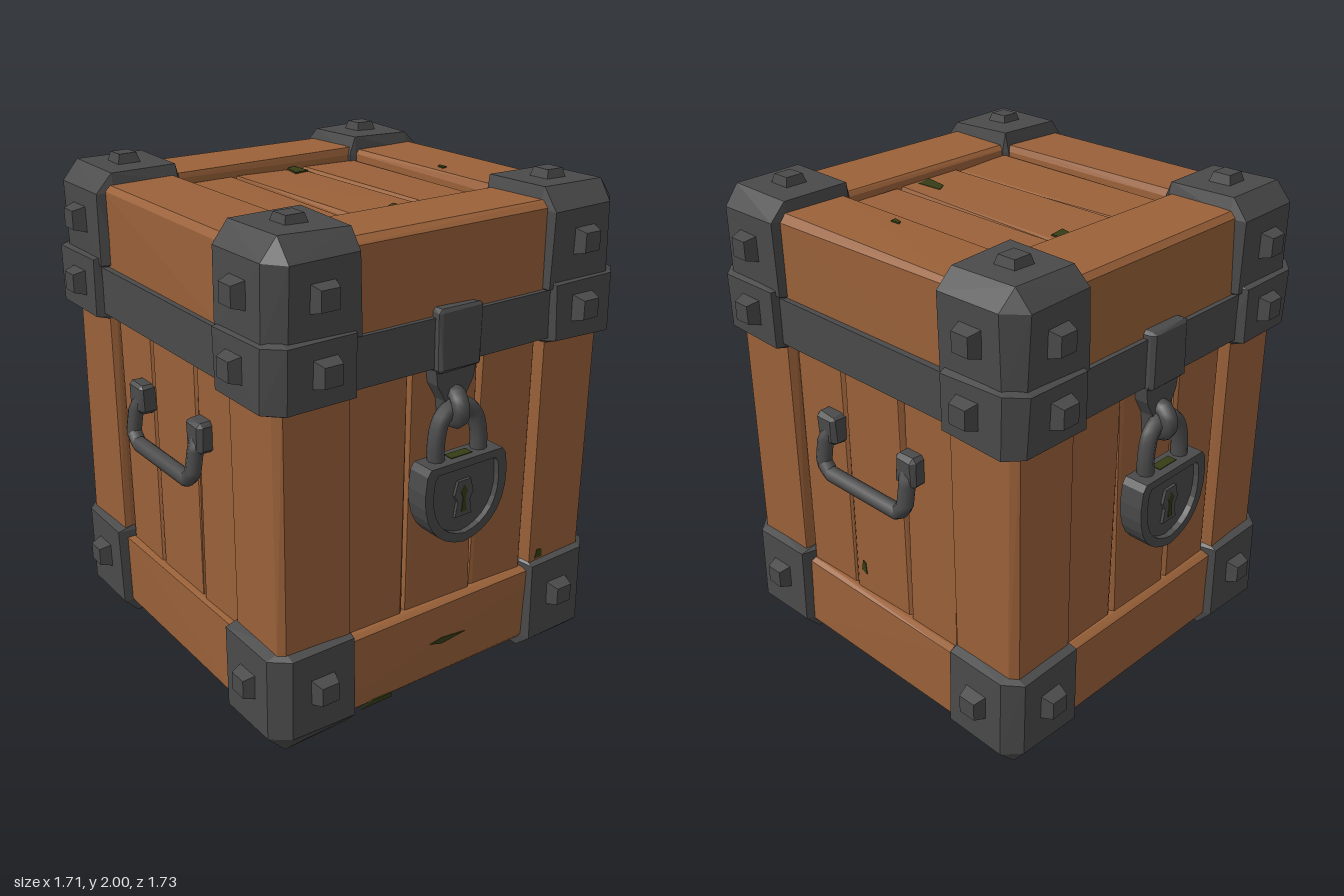
import * as THREE from 'three';
import { ConvexGeometry } from 'three/addons/geometries/ConvexGeometry.js';

const mat = (name, color, side = THREE.FrontSide) => {
  const m = new THREE.MeshStandardMaterial({ color, side });
  m.name = name;
  return m;
};
const V = (x, y, z) => new THREE.Vector3(x, y, z);

export function createModel() {
  const chest = new THREE.Group();
  chest.name = 'chest';
  const wood = mat('wood', 0x9a6139);
  const iron = mat('iron', 0x4a4a4a);
  const moss = mat('moss', 0x363c16, THREE.DoubleSide);

  let seed = 7;
  const rnd = () => {
    seed = (seed * 16807) % 2147483647;
    return seed / 2147483647 - 0.5;
  };

  const add = (parent, name, geo, material, p = [0, 0, 0]) => {
    const m = new THREE.Mesh(geo, material);
    m.name = name;
    m.position.set(...p);
    parent.add(m);
    return m;
  };

  // Chamfered block between two corners; inset gives the chamfer per side as [low, high] per axis
  const block = (lo, hi, inset, wobble) => {
    const pts = [];
    for (let i = 0; i < 8; i++) {
      const s = [i & 1, (i >> 1) & 1, (i >> 2) & 1];
      for (let keep = 0; keep < 3; keep++) {
        const p = s.map((k, a) => {
          const c = a === keep ? 0 : inset[a][k] * (k ? -1 : 1);
          return (k ? hi[a] : lo[a]) + c + rnd() * wobble;
        });
        pts.push(V(...p));
      }
    }
    return new ConvexGeometry(pts);
  };
  const even = (c) => [[c, c], [c, c], [c, c]];
  const plank = (name, lo, hi, inset = even(0.012)) => add(chest, name, block(lo, hi, inset, 0.012), wood);
  // Range on one side of an axis, and its chamfers: small inside, large outside
  const span = (s, n, f) => (s > 0 ? [n, f] : [-f, -n]);
  const edge = (s, inner, outer) => (s > 0 ? [inner, outer] : [outer, inner]);

  // Core behind the gaps
  add(chest, 'core', new THREE.BoxGeometry(1.38, 1.66, 1.38), wood, [0, 0.98, 0]);

  // Body: four corner posts, then upright planks set back in each wall
  for (const sx of [-1, 1]) for (const sz of [-1, 1]) {
    const [x0, x1] = span(sx, 0.445, 0.755), [z0, z1] = span(sz, 0.445, 0.755);
    plank('cornerPost', [x0, 0.36, z0], [x1, 1.5, z1], [edge(sx, 0.01, 0.03), [0.01, 0.01], edge(sz, 0.01, 0.03)]);
  }
  const cuts = [-0.445, -0.165, 0.165, 0.445];
  for (const s of [-1, 1]) for (let i = 0; i < 3; i++) {
    const a = cuts[i] + 0.004, b = cuts[i + 1] - 0.004;
    const [n, f] = span(s, 0.6, 0.724);
    plank('wallPlank', [a, 0.3, n], [b, 1.5, f]);
    plank('wallPlank', [n, 0.3, a], [f, 1.5, b]);
  }

  // Base and lid: frame beams with worn outer edges around a sunken panel of planks
  for (const [y0, y1, p0, p1, up] of [[0.055, 0.395, 0.105, 0.2, -1], [1.57, 1.92, 1.75, 1.872, 1]]) {
    const cy = edge(up, 0.012, 0.025);
    for (const s of [-1, 1]) {
      const [n, f] = span(s, 0.443, 0.755);
      const c = edge(s, 0.012, 0.025);
      plank('frameBeam', [-0.74, y0, n], [0.74, y1, f], [[0.01, 0.01], cy, c]);
      plank('sideBeam', [n, y0, -0.45], [f, y1 - 0.004, 0.45], [c, cy, [0.01, 0.01]]);
    }
    for (let i = 0; i < 3; i++) {
      plank('panelPlank', [cuts[i] + 0.004, p0, -0.45], [cuts[i + 1] - 0.004, p1, 0.45]);
    }
  }

  // Iron band under the lid
  for (const s of [-1, 1]) {
    add(chest, 'band', new THREE.BoxGeometry(1.2, 0.19, 0.09), iron, [0, 1.495, s * 0.732]);
    add(chest, 'band', new THREE.BoxGeometry(0.09, 0.19, 1.2), iron, [s * 0.732, 1.495, 0]);
  }

  // Square stud pointing along a direction
  const studGeo = new THREE.CylinderGeometry(0.053, 0.088, 0.09, 4).rotateY(Math.PI / 4).toNonIndexed();
  studGeo.computeVertexNormals();
  const stud = (p, dir) => {
    const m = add(chest, 'stud', studGeo, iron, p);
    m.quaternion.setFromUnitVectors(V(0, 1, 0), dir);
  };

  // Corner caps: [bottom, top, inner, outer, low chamfer, high chamfer, stud height]
  const caps = [
    [0.01, 0.435, 0.43, 0.79, 0.07, 0.018, 0.26],
    [1.37, 1.635, 0.443, 0.808, 0.018, 0.018, 1.51],
    [1.58, 1.965, 0.418, 0.79, 0.018, 0.075, 1.765],
  ];
  for (const [y0, y1, n, f, cl, ch, sy] of caps)
    for (const sx of [-1, 1]) for (const sz of [-1, 1]) {
      const [x0, x1] = span(sx, n, f), [z0, z1] = span(sz, n, f);
      const inset = [edge(sx, 0.018, 0.065), [cl, ch], edge(sz, 0.018, 0.065)];
      add(chest, 'cornerCap', block([x0, y0, z0], [x1, y1, z1], inset, 0.012), iron);
      stud([sx * 0.592, sy, sz * (f + 0.004)], V(0, 0, sz));
      stud([sx * (f + 0.004), sy, sz * 0.592], V(sx, 0, 0));
      if (y1 > 1.9) stud([sx * 0.585, y1 - 0.01, sz * 0.59], V(0, 1, 0));
    }

  // Hanging handles on both sides
  for (const s of [-1, 1]) {
    const handle = new THREE.Group();
    handle.name = 'handle';
    const path = new THREE.CurvePath();
    const c = [[0.755, 1.1, -0.22], [0.775, 1.06, -0.235], [0.79, 0.97, -0.235], [0.79, 0.93, -0.195],
      [0.79, 0.93, 0.195], [0.79, 0.97, 0.235], [0.775, 1.06, 0.235], [0.755, 1.1, 0.22]];
    for (let i = 0; i < c.length - 1; i++) path.add(new THREE.LineCurve3(V(...c[i]), V(...c[i + 1])));
    add(handle, 'grip', new THREE.TubeGeometry(path, 48, 0.032, 8), iron);
    for (const z of [-0.225, 0.225]) {
      add(handle, 'handleMount', block([0.7, 1.05, z - 0.052], [0.782, 1.175, z + 0.052], even(0.015), 0.006), iron);
    }
    if (s < 0) handle.rotation.y = Math.PI;
    chest.add(handle);
  }

  // Rounded shield outline of the padlock, scaled about its middle
  const shield = (k, T = THREE.Shape) => {
    const cy = 0.9, s = new T(), P = (x, y) => [x * k, cy + (y - cy) * k];
    s.moveTo(...P(-0.17, 1.055));
    s.lineTo(...P(-0.188, 1.03));
    s.bezierCurveTo(...P(-0.225, 0.83), ...P(-0.13, 0.73), ...P(0, 0.715));
    s.bezierCurveTo(...P(0.13, 0.73), ...P(0.225, 0.83), ...P(0.188, 1.03));
    s.lineTo(...P(0.17, 1.055));
    s.closePath();
    return s;
  };
  const extrude = (shape, depth) => new THREE.ExtrudeGeometry(shape, { depth, bevelEnabled: false, curveSegments: 8 });
  const poly = (pts) => new THREE.Shape(pts.map(([x, y]) => new THREE.Vector2(x, y)));

  // Hasp and padlock, front and back
  for (const turn of [0, Math.PI]) {
    const lock = new THREE.Group();
    lock.name = 'padlock';
    lock.rotation.y = turn;
    add(lock, 'hasp', block([-0.1, 1.385, 0.74], [0.1, 1.62, 0.805], even(0.012), 0.008), iron);
    add(lock, 'haspTongue', extrude(poly([[-0.095, 1.4], [-0.085, 1.33], [-0.045, 1.26], [-0.035, 1.17],
      [0.035, 1.17], [0.045, 1.26], [0.085, 1.33], [0.095, 1.4]]), 0.07), iron, [0, 0, 0.71]);
    const ring = add(lock, 'ring', new THREE.TorusGeometry(0.05, 0.035, 8, 16), iron, [0, 1.235, 0.78]);
    ring.rotation.y = Math.PI / 2.4;
    const bow = new THREE.CatmullRomCurve3([V(-0.1, 1.0, 0.805), V(-0.1, 1.13, 0.8), V(-0.072, 1.21, 0.795),
      V(0, 1.245, 0.79), V(0.072, 1.21, 0.795), V(0.1, 1.13, 0.8), V(0.1, 1.0, 0.805)]);
    add(lock, 'shackle', new THREE.TubeGeometry(bow, 28, 0.033, 8), iron);
    add(lock, 'lockBody', extrude(shield(1), 0.075), iron, [0, 0, 0.765]);
    const rim = shield(1);
    rim.holes.push(shield(0.8, THREE.Path));
    add(lock, 'lockRim', extrude(rim, 0.024), iron, [0, 0, 0.84]);
    // Keyhole with its raised surround, and moss on the lock's top
    add(lock, 'keyholePlate', extrude(poly([[-0.04, 0.82], [0.04, 0.82], [0.03, 0.88], [0.045, 0.91], [0.03, 0.965],
      [-0.03, 0.965], [-0.045, 0.91], [-0.03, 0.88]]), 0.012), iron, [0, 0, 0.84]);
    add(lock, 'keyhole', extrude(poly([[-0.012, 0.838], [0.012, 0.838], [0.006, 0.895], [0.016, 0.92],
      [0, 0.945], [-0.016, 0.92], [-0.006, 0.895]]), 0.003), moss, [0, 0, 0.852]);
    add(lock, 'lockMoss', new THREE.BoxGeometry(0.1, 0.004, 0.04), moss, [0, 1.056, 0.81]);
    chest.add(lock);
  }

  // Moss on the front: along the base beam, at its lower edge and at the foot of a post
  for (const pts of [
    [[-0.06, 0.225], [0, 0.208], [0.12, 0.222], [0, 0.235]],
    [[-0.4, 0.062], [-0.25, 0.062], [-0.25, 0.08], [-0.34, 0.082]],
    [[0.485, 0.43], [0.525, 0.43], [0.52, 0.465], [0.495, 0.47]],
  ]) add(chest, 'frontMoss', extrude(poly(pts), 0.006), moss, [0, 0, 0.756]);

  // Moss in a crack of the left wall
  const tuft = extrude(poly([[-0.12, 0.48], [-0.09, 0.47], [-0.095, 0.52], [-0.11, 0.53]]), 0.006);
  add(chest, 'wallMoss', tuft.rotateY(Math.PI / 2), moss, [0.724, 0, 0]);

  // Mossy chips on the lid
  for (const [x, z, w, d] of [[0.1, -0.39, 0.035, 0.055], [0.045, 0.37, 0.035, 0.065], [0.505, 0.07, 0.012, 0.022]]) {
    const chip = extrude(poly([[-w, -d], [w, -d * 0.8], [w * 0.8, d], [-w * 0.5, d * 0.6]]), 0.006);
    add(chest, 'mossChip', chip.rotateX(-Math.PI / 2), moss, [x, x > 0.4 ? 1.917 : 1.873, z]);
  }
  return chest;
}
